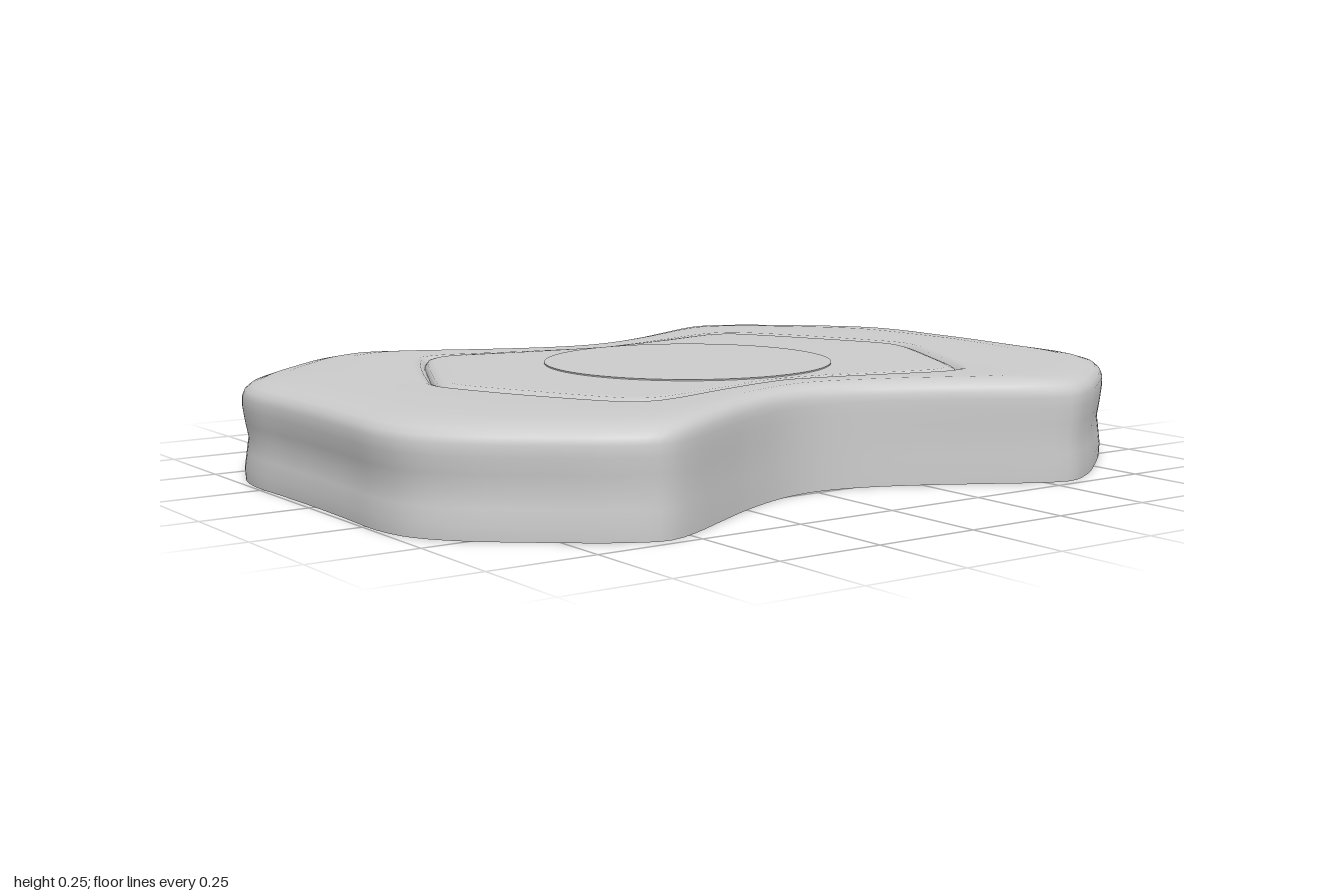
import * as THREE from 'three';

const SEG = 240;
const lerp = THREE.MathUtils.lerp;
const material = new THREE.MeshStandardMaterial({ color: 0xcccccc, side: THREE.DoubleSide });

// Quarter outlines [x, z], from the waist to the front centre line
const OUTER = [[0.49, 0], [0.505, 0.1], [0.56, 0.235], [0.635, 0.37], [0.70, 0.485], [0.727, 0.565],
  [0.69, 0.655], [0.61, 0.765], [0.48, 0.915], [0.395, 0.973], [0.30, 0.994], [0.15, 0.992], [0, 0.99]];
const INNER = [[0.37, 0], [0.378, 0.06], [0.415, 0.22], [0.453, 0.36], [0.46, 0.405], [0.447, 0.46],
  [0.40, 0.495], [0.24, 0.575], [0.075, 0.652], [0.035, 0.666], [0, 0.671]];

// Mirrors a quarter outline and returns its radius at SEG even angles
function radii(quarter) {
  const half = [...quarter, ...quarter.slice(0, -1).reverse().map(([x, z]) => [-x, z])];
  const full = [...half, ...half.slice(1, -1).reverse().map(([x, z]) => [x, -z])];
  const curve = new THREE.CatmullRomCurve3(full.map(([x, z]) => new THREE.Vector3(x, 0, z)), true);
  const pts = curve.getPoints(1200).map((p) => {
    const a = Math.atan2(p.z, p.x);
    return { a: a < -1e-6 ? a + 2 * Math.PI : Math.max(a, 0), r: Math.hypot(p.x, p.z) };
  });
  pts[pts.length - 1].a = 2 * Math.PI;
  let k = 0;
  return Array.from({ length: SEG }, (_, j) => {
    const a = (j / SEG) * 2 * Math.PI;
    while (k < pts.length - 2 && pts[k + 1].a < a) k++;
    const p = pts[k], q = pts[k + 1];
    return lerp(p.r, q.r, THREE.MathUtils.clamp((a - p.a) / (q.a - p.a || 1), 0, 1));
  });
}

// Open-bottomed shell: each ring is [y, blend from edge to hole, wall inset at the ends]
function shell(name, edge, hole, rings) {
  const pos = [], index = [];
  rings.forEach(([y, t, inset], i) => {
    for (let j = 0; j < SEG; j++) {
      const a = (j / SEG) * 2 * Math.PI;
      const r = lerp(edge[j], hole[j], t) - inset * Math.sin(a) ** 2;
      pos.push(r * Math.cos(a), y, r * Math.sin(a));
      if (i === rings.length - 1) continue;
      const n = (j + 1) % SEG, b = i * SEG, c = b + SEG;
      index.push(b + j, c + j, b + n, b + n, c + j, c + n);
    }
  });
  const geo = new THREE.BufferGeometry();
  geo.setAttribute('position', new THREE.Float32BufferAttribute(pos, 3));
  geo.setIndex(index);
  geo.computeVertexNormals();
  const mesh = new THREE.Mesh(geo, material);
  mesh.name = name;
  return mesh;
}

export function createModel() {
  const group = new THREE.Group();
  group.name = 'layeredPlate';
  const outer = radii(OUTER), inner = radii(INNER);
  const R = 0.344, disc = new Array(SEG).fill(R);

  // Outer body: gently rippled wall, soft top edge, small dip at the seam
  group.add(shell('outerBody', outer, inner, [
    [0, 0, 0.004], [0.03, 0, 0.002], [0.065, 0, 0.008], [0.1, 0, 0.014], [0.135, 0, 0.006],
    [0.17, 0, 0], [0.195, 0, 0], [0.21, 0.015, 0], [0.222, 0.05, 0], [0.231, 0.12, 0],
    [0.237, 0.22, 0], [0.241, 0.4, 0], [0.241, 0.6, 0], [0.241, 0.93, 0], [0.238, 0.97, 0], [0.226, 1, 0]]));

  // Waisted inner panel with a narrow rounded rim
  group.add(shell('innerPanel', inner, disc, [
    [0, 0, 0], [0.07, 0, 0.004], [0.14, 0, 0.002], [0.2, 0, 0], [0.226, 0, 0],
    [0.237, 0.025, 0], [0.242, 0.08, 0], [0.243, 0.2, 0], [0.243, 0.6, 0], [0.243, 1, 0]]));

  // Round centre: open tube closed by a flat top
  const tube = new THREE.Mesh(new THREE.CylinderGeometry(R, R, 0.246, 96, 1, true), material);
  tube.name = 'centreWall';
  tube.position.y = 0.123;
  const cap = new THREE.Mesh(new THREE.CircleGeometry(R, 96).rotateX(-Math.PI / 2), material);
  cap.name = 'centreTop';
  cap.position.y = 0.246;
  group.add(tube, cap);
  return group;
}
